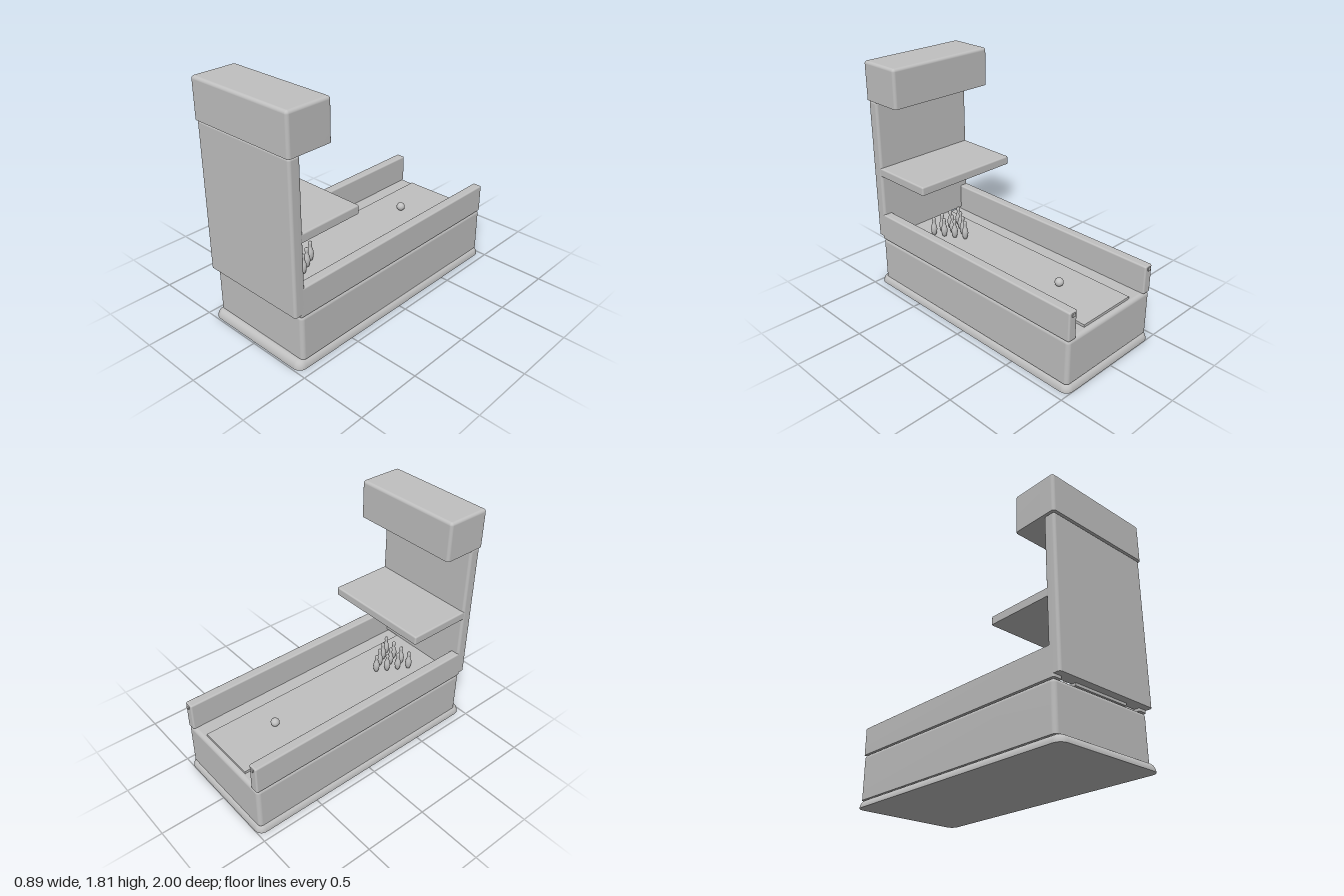
import * as THREE from 'three';

// Block with a rounded plan and a filleted top edge; the underside stays sharp.
// x, y, z are [min, max] ranges; r: plan corner radius; fx, fy: fillet inset and height.
function blockGeometry(x, y, z, r, fx = r, fy = fx) {
  const arc = 8, rings = 8;
  const cx = (x[0] + x[1]) / 2, cz = (z[0] + z[1]) / 2;
  const hx = (x[1] - x[0]) / 2 - r, hz = (z[1] - z[0]) / 2 - r;
  const pos = [], index = [];

  const addRing = (radius, height) => {
    const start = pos.length / 3;
    for (let q = 0; q < 4; q++) {
      const sx = q === 0 || q === 3 ? 1 : -1, sz = q < 2 ? 1 : -1;
      for (let i = 0; i <= arc; i++) {
        const a = (q + i / arc) * Math.PI / 2;
        pos.push(cx + sx * hx + radius * Math.cos(a), height, cz + sz * hz + radius * Math.sin(a));
      }
    }
    return start;
  };
  const n = 4 * (arc + 1);
  const addCap = (start, height, up) => {
    const c = pos.length / 3;
    pos.push(cx, height, cz);
    for (let i = 0; i < n; i++) {
      const a = start + i, b = start + (i + 1) % n;
      if (up) index.push(c, b, a);
      else index.push(c, a, b);
    }
  };

  let previous = addRing(r, y[0]);
  for (let k = 0; k <= rings; k++) {
    const t = k / rings * Math.PI / 2;
    const ring = addRing(r - fx * (1 - Math.cos(t)), y[1] - fy + fy * Math.sin(t));
    for (let i = 0; i < n; i++) {
      const j = (i + 1) % n;
      index.push(previous + i, ring + i, previous + j, previous + j, ring + i, ring + j);
    }
    previous = ring;
  }
  addCap(previous, y[1], true);
  addCap(addRing(r, y[0]), y[0], false);

  const g = new THREE.BufferGeometry();
  g.setAttribute('position', new THREE.Float32BufferAttribute(pos, 3));
  g.setIndex(index);
  g.computeVertexNormals();
  return g;
}

export function createModel() {
  const model = new THREE.Group();
  model.name = 'bowlingMachine';
  const grey = new THREE.MeshStandardMaterial({ color: 0xc0c0c0 });
  grey.name = 'plain grey';

  const add = (name, geometry, parent = model) => {
    const mesh = new THREE.Mesh(geometry, grey);
    mesh.name = name;
    parent.add(mesh);
    return mesh;
  };

  // Cabinet
  add('plinth', blockGeometry([-0.445, 0.445], [0, 0.06], [-1, 0.99], 0.06, 0.045, 0.06));
  add('cabinet', blockGeometry([-0.427, 0.427], [0.06, 0.4], [-0.98, 0.94], 0.03));
  add('backPanel', blockGeometry([-0.427, 0.427], [0.42, 1.518], [0.9, 0.99], 0.02));
  add('headBox', blockGeometry([-0.437, 0.437], [1.518, 1.808], [0.655, 1], 0.022));
  add('shelf', blockGeometry([-0.425, 0.425], [0.937, 1], [0.412, 0.93], 0.012));

  // Lane bed
  const lane = add('lane', new THREE.BoxGeometry(0.47, 0.019, 1.88));
  lane.position.set(0, 0.4095, -0.005);

  // Side rails, each with a small catch on its end
  for (const side of [-1, 1]) {
    const xs = side > 0 ? [0.355, 0.427] : [-0.427, -0.355];
    add('sideRail', blockGeometry(xs, [0.4, 0.612], [-0.98, 0.94], 0.012));
    const catchMesh = add('railCatch', new THREE.BoxGeometry(0.025, 0.025, 0.02));
    catchMesh.position.set(side * 0.391, 0.588, -0.978);
  }

  // Ball
  const ball = add('ball', new THREE.SphereGeometry(0.032, 32, 20));
  ball.position.set(0, 0.451, -0.52);

  // Ten pins in a triangle pointing at the player
  const outline = [[0, 0], [0.014, 0], [0.02, 0.02], [0.025, 0.048], [0.022, 0.072], [0.013, 0.1],
    [0.0115, 0.112], [0.0145, 0.13], [0.012, 0.144], [0.006, 0.15], [0, 0.151]];
  const pinGeometry = new THREE.LatheGeometry(outline.map(([r, h]) => new THREE.Vector2(r, h)), 24);
  const pins = new THREE.Group();
  pins.name = 'pins';
  model.add(pins);
  const spacing = 0.085;
  for (let row = 0; row < 4; row++) {
    for (let i = 0; i <= row; i++) {
      const pin = add('pin', pinGeometry, pins);
      pin.position.set((i - row / 2) * spacing, 0.419, 0.455 + row * spacing * 0.866);
    }
  }
  return model;
}
